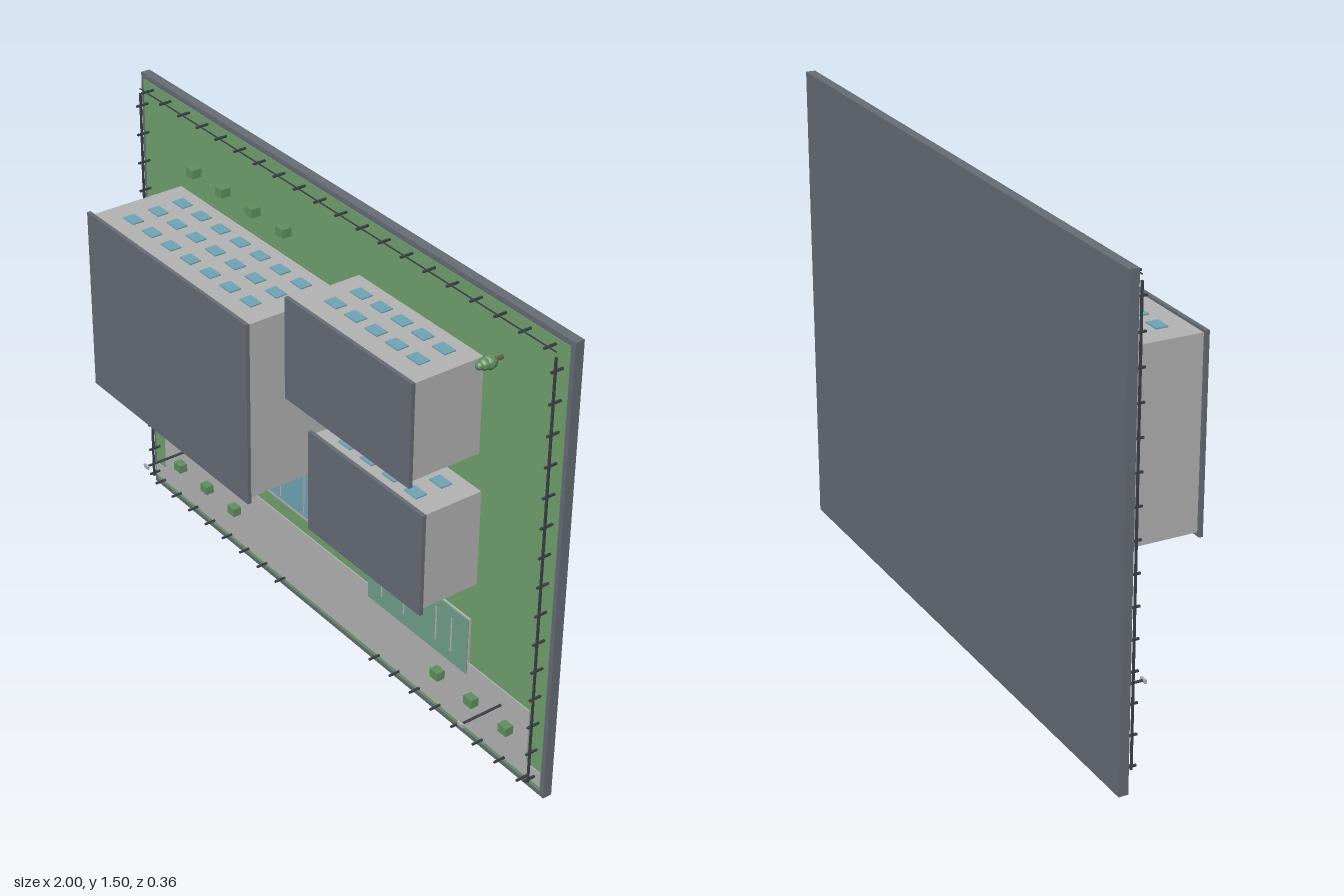
import * as THREE from 'three';

const mat = (name, color, extra = {}) => {
  const m = new THREE.MeshStandardMaterial({ color, ...extra });
  m.name = name;
  return m;
};

export function createModel() {
  const root = new THREE.Group();
  root.name = 'campusBoard';
  const slate = mat('slate', 0x666c75);
  const grass = mat('grass', 0x6f9f6c);
  const concrete = mat('concrete', 0xb2b2b2);
  const glass = mat('glass', 0x6fa3b3);
  const courtGreen = mat('courtGreen', 0x6f9e8a);
  const iron = mat('iron', 0x3c4046);
  const leaf = mat('leaf', 0x5f8f5f, { flatShading: true });
  const bark = mat('bark', 0x6b5a48);

  const GROUND = -0.15; // the ground faces +z

  // Box given by its limits on each axis
  const box = (name, m, x0, x1, y0, y1, z0, z1, parent = root) => {
    const mesh = new THREE.Mesh(new THREE.BoxGeometry(x1 - x0, y1 - y0, z1 - z0), m);
    mesh.position.set((x0 + x1) / 2, (y0 + y1) / 2, (z0 + z1) / 2);
    mesh.name = name;
    parent.add(mesh);
    return mesh;
  };
  const group = (name) => {
    const g = new THREE.Group();
    g.name = name;
    root.add(g);
    return g;
  };

  // Ground
  box('basePlate', slate, -1, 1, 0, 1.5, -0.182, GROUND - 0.002);
  box('lawn', grass, -0.985, 0.985, 0.018, 1.483, -0.155, GROUND);

  // Paving
  box('plaza', concrete, -0.925, 0.925, 0.035, 0.27, GROUND, -0.146);
  box('road', concrete, -0.985, 0.985, 0.035, 0.085, GROUND, -0.147);
  box('parking', concrete, -0.81, -0.5, 0.2, 0.33, GROUND, -0.145);
  box('path', concrete, 0.315, 0.45, 0.87, 0.985, GROUND, -0.146);

  // Buildings: body, overhanging roof, windows on both long sides, door
  const building = (name, x0, x1, y0, y1, top, cols, rows, doorX, canopy) => {
    const g = group(name);
    box('walls', concrete, x0 + 0.01, x1 - 0.01, y0 + 0.012, y1 - 0.008, GROUND, top - 0.012, g);
    box('roof', slate, x0, x1, y0, y1, top - 0.012, top, g);
    const step = (x1 - x0 - 0.02) / (cols + 1);
    for (let r = 0; r < rows; r++) {
      const z = -0.088 + r * 0.088;
      for (let c = 1; c <= cols; c++) {
        const x = x0 + 0.01 + c * step;
        for (const y of [y0 + 0.012, y1 - 0.008]) {
          box('window', glass, x - 0.027, x + 0.027, y - 0.004, y + 0.004, z - 0.019, z + 0.019, g);
        }
      }
    }
    box('door', glass, doorX - 0.04, doorX + 0.04, y0 + 0.006, y0 + 0.013, GROUND, -0.065, g);
    if (canopy) box('canopy', slate, doorX - 0.07, doorX + 0.07, y0 - 0.064, y0 + 0.012, -0.063, -0.055, g);
  };
  building('mainHall', -0.8, 0.03, 0.605, 1.206, 0.182, 7, 3, -0.385, true);
  building('northBlock', 0.1, 0.665, 0.975, 1.302, 0.1, 5, 2, 0.385, true);
  building('eastBlock', 0.16, 0.682, 0.546, 0.88, 0.062, 4, 2, 0.42, false);

  // Pool with lane lines
  const pool = group('pool');
  box('poolRim', concrete, -0.535, -0.082, 0.329, 0.555, GROUND, -0.14, pool);
  box('water', glass, -0.52, -0.097, 0.344, 0.541, -0.145, -0.136, pool);
  for (const x of [-0.49, -0.365, -0.25, -0.128]) {
    box('laneLine', concrete, x - 0.0025, x + 0.0025, 0.355, 0.535, -0.137, -0.134, pool);
  }

  // Sports court with markings
  const court = group('court');
  box('courtEdge', concrete, 0.187, 0.657, 0.231, 0.426, GROUND, -0.144, court);
  box('courtSurface', courtGreen, 0.19, 0.654, 0.231, 0.423, -0.147, -0.141, court);
  for (const x of [0.257, 0.363, 0.513, 0.583]) {
    box('courtLine', concrete, x - 0.0025, x + 0.0025, 0.27, 0.388, -0.142, -0.139, court);
  }

  // Perimeter fence with a gate gap at the bottom
  const fence = group('fence');
  const post = (x, y) =>
    box('fencePost', iron, x - 0.003, x + 0.003, y - 0.003, y + 0.003, GROUND, -0.108, fence);
  for (const s of [-1, 1]) {
    const x = s * 0.963;
    for (let i = 0; i < 15; i++) post(x, 0.06 + i * 0.0964);
    box('sideRail', iron, x - 0.003, x + 0.003, 0.05, 1.45, -0.126, -0.12, fence);
  }
  for (let i = 0; i < 20; i++) {
    const x = -0.931 + i * 0.098;
    post(x, 1.466);
    if (Math.abs(x) > 0.16) post(x, 0.04);
  }
  box('topRail', iron, -0.963, 0.963, 1.4645, 1.4675, -0.124, -0.121, fence);

  // Clipped shrubs
  const shrub = (x, y) =>
    box('shrub', leaf, x - 0.018, x + 0.018, y - 0.014, y + 0.014, GROUND, -0.118);
  for (let i = 0; i < 4; i++) shrub(-0.695 + i * 0.1545, 1.29);
  for (let i = 0; i < 3; i++) {
    shrub(-0.812 + i * 0.1545, 0.163);
    shrub(0.537 + i * 0.1545, 0.163);
  }

  // Trees growing toward +z
  for (const [x, y] of [[-0.77, 0.485], [0.73, 1.33]]) {
    const tree = group('tree');
    tree.position.set(x, y, GROUND);
    tree.rotation.x = Math.PI / 2;
    const trunk = new THREE.Mesh(new THREE.CylinderGeometry(0.005, 0.006, 0.04, 8), bark);
    trunk.name = 'trunk';
    trunk.position.y = 0.02;
    tree.add(trunk);
    for (const [r, h] of [[0.023, 0.045], [0.019, 0.062], [0.013, 0.078]]) {
      const crown = new THREE.Mesh(new THREE.IcosahedronGeometry(r, 1), leaf);
      crown.name = 'crown';
      crown.position.y = h;
      tree.add(crown);
    }
  }

  // Lamp posts
  for (const x of [-0.81, 0.806]) {
    const pole = new THREE.Mesh(new THREE.CylinderGeometry(0.004, 0.004, 0.15, 8), iron);
    pole.name = 'lampPole';
    pole.rotation.x = Math.PI / 2;
    pole.position.set(x, 0.215, -0.075);
    root.add(pole);
    box('lampHead', concrete, x - 0.012, x + 0.012, 0.209, 0.221, -0.003, 0.004);
  }
  return root;
}
